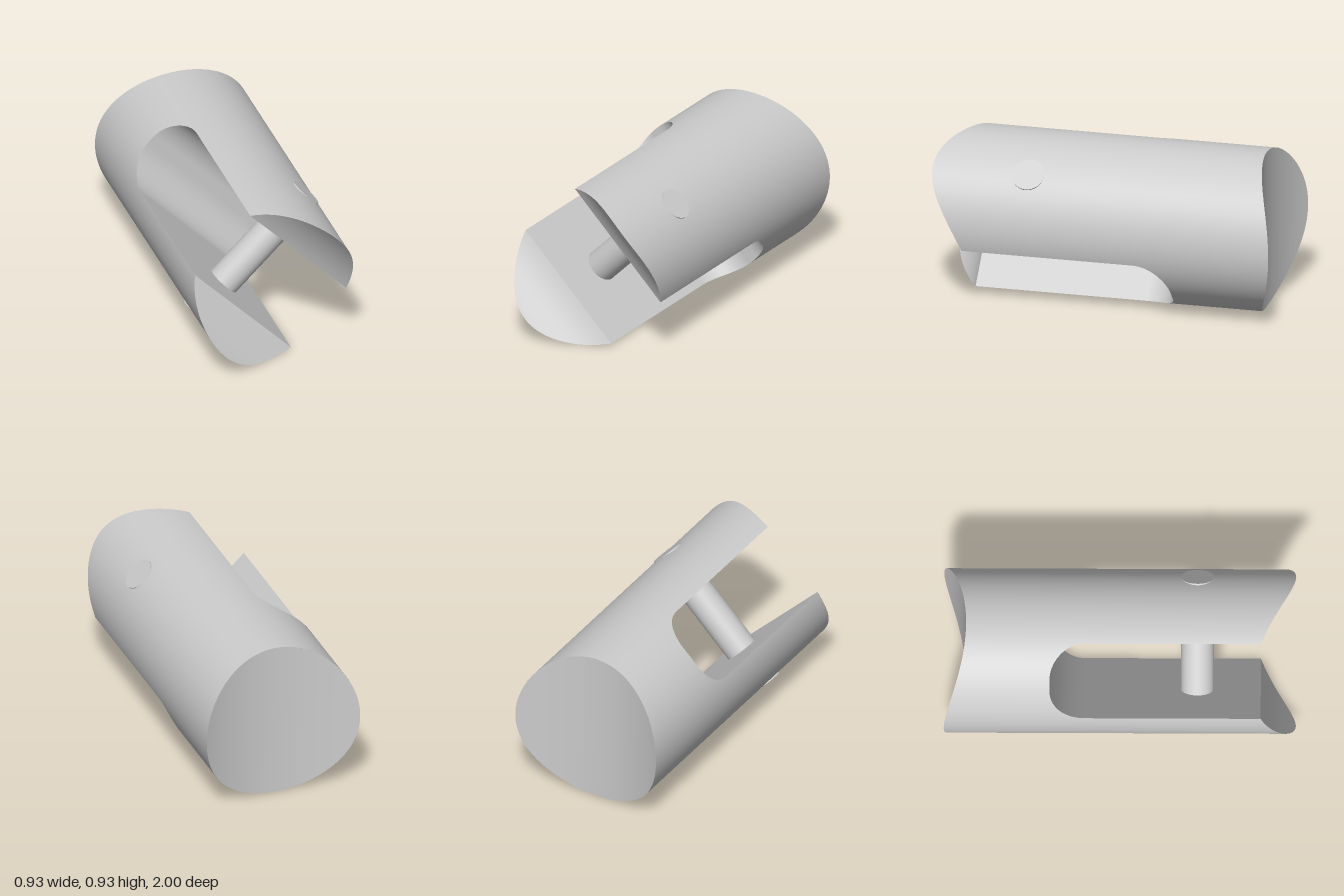
import * as THREE from 'three';

const R = 0.467;          // body radius
const WALL = R / 2;       // half width of the fork slot
const CORNER = 0.2;       // rounding at the slot's closed end
const material = new THREE.MeshStandardMaterial({ color: 0xcccccc, side: THREE.DoubleSide });

// u runs across the slot (45 degrees up), v along it
const at = (u, v, z) => [(u - v) * Math.SQRT1_2, R + (u + v) * Math.SQRT1_2, z];
const half = (u) => Math.sqrt(Math.max(0, R * R - u * u));
// concave saddle cut at the back
const backZ = (x) => -1 - Math.sqrt(3) * R + Math.sqrt(4 * R * R - x * x);
// concave bevel on the prong tips
const RHO = 1.2 * R;
const tipZ = (u) => 1 + Math.sqrt(RHO * RHO - R * R) - Math.sqrt(RHO * RHO - u * u);

// Ruled surface between two matching rows of points
function strip(name, a, b, round = false) {
  const pos = [], nor = [], index = [];
  a.forEach((p, i) => {
    for (const q of [p, b[i]]) {
      pos.push(...q);
      nor.push(q[0] / R, (q[1] - R) / R, 0);
    }
    if (i < a.length - 1) {
      const k = 2 * i;
      index.push(k, k + 1, k + 2, k + 1, k + 3, k + 2);
    }
  });
  const geo = new THREE.BufferGeometry();
  geo.setAttribute('position', new THREE.Float32BufferAttribute(pos, 3));
  geo.setIndex(index);
  if (round) geo.setAttribute('normal', new THREE.Float32BufferAttribute(nor, 3));
  else geo.computeVertexNormals();
  const mesh = new THREE.Mesh(geo, material);
  mesh.name = name;
  return mesh;
}

export function createModel() {
  const group = new THREE.Group();
  group.name = 'forkedTube';

  // Front outline as [u, z], from one prong through the slot to the other
  const prong = [], corner = [];
  for (let i = 0; i <= 20; i++) {
    const u = R * Math.cos((i / 20) * (Math.PI / 3));
    prong.push([u, tipZ(u)]);
    const t = (i / 20) * (Math.PI / 2);
    corner.push([WALL - CORNER + CORNER * Math.cos(t), -0.2 - CORNER * Math.sin(t)]);
  }
  const mirror = (list) => list.map(([u, z]) => [-u, z]).reverse();
  const wallTop = [WALL, tipZ(WALL)];
  const slot = [wallTop, ...corner, [0, -0.2 - CORNER], ...mirror([wallTop, ...corner])];

  // Prong tips, slot walls and slot end
  const face = (name, list) => group.add(strip(name,
    list.map(([u, z]) => at(u, -half(u), z)),
    list.map(([u, z]) => at(u, half(u), z))));
  face('upperProngTip', prong);
  face('slot', slot);
  face('lowerProngTip', mirror(prong));

  // Round outer wall, from the front outline to the saddle cut
  const outline = [...prong, ...slot, ...mirror(prong)];
  const rim = [
    ...outline.map(([u, z]) => at(u, half(u), z)),
    ...outline.map(([u, z]) => at(u, -half(u), z)).reverse(),
  ];
  group.add(strip('outerWall', rim, rim.map(([x, y]) => [x, y, backZ(x)]), true));

  // Saddle-cut back face
  const low = [], high = [];
  for (let i = 0; i <= 64; i++) {
    const x = -R * Math.cos((i / 64) * Math.PI);
    low.push([x, R - half(x), backZ(x)]);
    high.push([x, R + half(x), backZ(x)]);
  }
  group.add(strip('saddleBack', low, high));

  // Cross pin through both prongs, its flat ends just proud of the wall
  const pin = new THREE.Mesh(new THREE.CylinderGeometry(0.094, 0.094, 2 * R, 40), material);
  pin.name = 'crossPin';
  pin.rotation.z = -Math.PI / 4;
  pin.position.set(0, R, 0.44);
  group.add(pin);

  return group;
}
